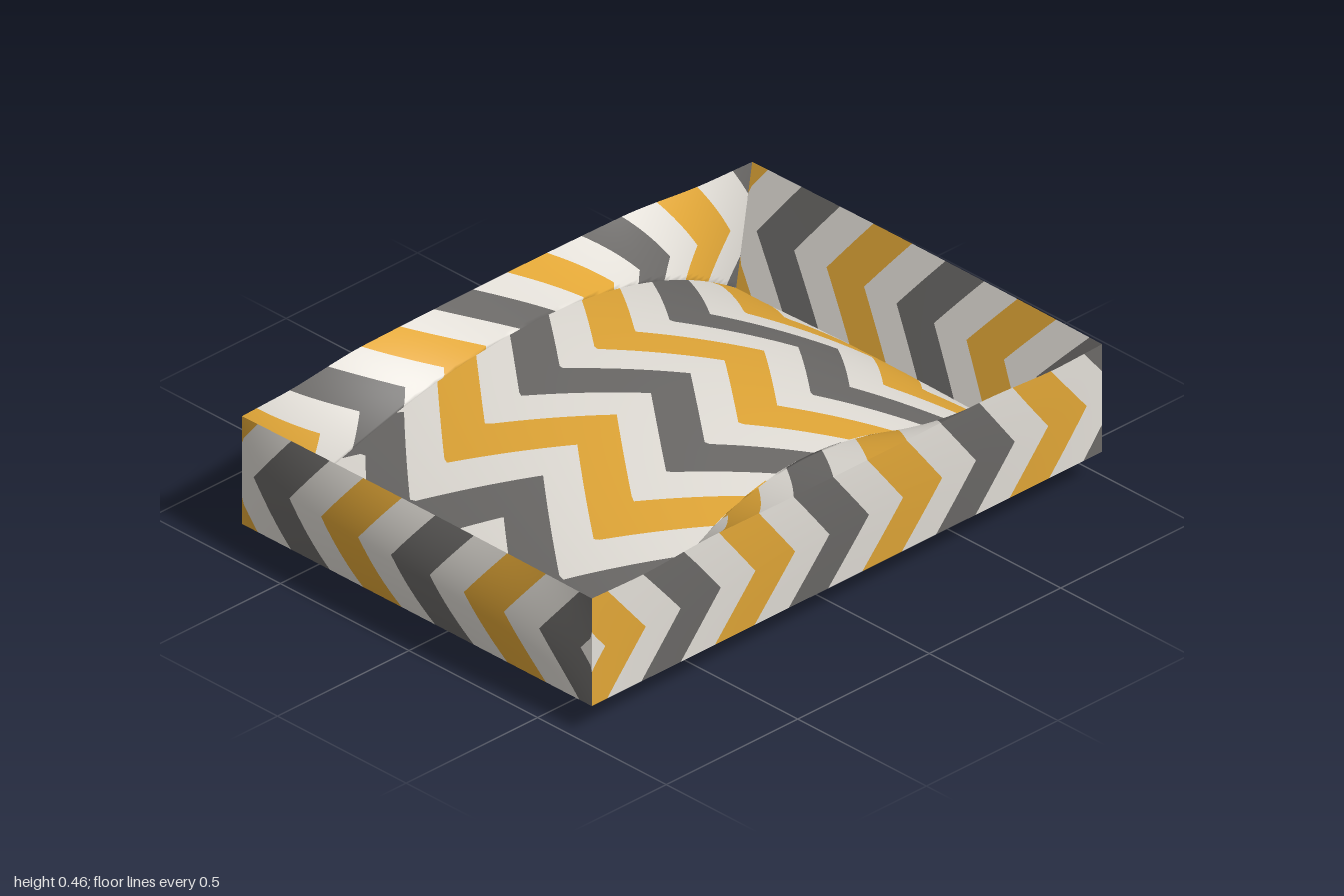
import * as THREE from 'three';

const { clamp, lerp, smoothstep } = THREE.MathUtils;
const HX = 0.97, HZ = 0.68;        // half size of the outer box
const FX = 0.87, FZ = 0.64;        // half size of the cushion
const BASE = 0.1;                  // height of the lower seam
const PITCH = 0.28, BAND = 0.15;   // chevron spacing and width

// Zigzag shift of the bands, pointing towards +u at v = 0
const zigzag = (v) => -0.44 * Math.abs(v / 0.56 - Math.round(v / 0.56));

// Panel P(u, v) cut into chevron bands: one geometry group per fabric colour.
// side is -1 where the panel faces against its u x v direction;
// squeeze narrows the zigzag where the panel itself gets narrower.
function chevronPanel(name, materials, U, V, P, rows, side, squeeze) {
  const pos = [], nor = [], index = [[], [], []];
  const e = 0.004, cols = 4;
  const at = (u, v) => new THREE.Vector3(...P(clamp(u, -U, U) / U, clamp(v, -V, V) / V));
  const addVertex = (u, v) => {
    const du = at(u + e, v).sub(at(u - e, v));
    const dv = at(u, v + e).sub(at(u, v - e));
    pos.push(...at(u, v).toArray());
    nor.push(...du.cross(dv).normalize().multiplyScalar(side).toArray());
  };
  const addTriangle = (list, a, b, c) => list.push(...(side > 0 ? [a, b, c] : [a, c, b]));
  const addBand = (start, width, colour) => {
    const first = pos.length / 3, us = [];
    for (let j = 0; j <= rows; j++) {
      const v = lerp(-V, V, j / rows);
      for (let i = 0; i <= cols; i++) {
        const u0 = start + width * i / cols;
        const k = squeeze(clamp((u0 - 0.11) / U, -1, 1));
        const u = clamp(u0 + zigzag(v * k), -U, U);
        us.push(u);
        addVertex(u, v);
      }
    }
    for (let j = 0; j < rows; j++) for (let i = 0; i < cols; i++) {
      const p = j * (cols + 1) + i, q = p + cols + 1, f = first;
      if (us[p + 1] > us[p]) addTriangle(index[colour], f + p, f + p + 1, f + q + 1);
      if (us[q + 1] > us[q]) addTriangle(index[colour], f + p, f + q + 1, f + q);
    }
  };
  for (let k = -4; k <= 6; k++) {
    const start = -0.36 + PITCH * k;
    addBand(start, BAND, k % 2 === 0 ? 1 : 2);
    addBand(start + BAND, PITCH - BAND, 0);
  }
  const g = new THREE.BufferGeometry();
  g.setAttribute('position', new THREE.Float32BufferAttribute(pos, 3));
  g.setAttribute('normal', new THREE.Float32BufferAttribute(nor, 3));
  g.setIndex(index.flat());
  let offset = 0;
  index.forEach((list, m) => {
    g.addGroup(offset, list.length, m);
    offset += list.length;
  });
  const mesh = new THREE.Mesh(g, materials);
  mesh.name = name;
  return mesh;
}

// Rim heights and rim bow of the long and short walls
const longRim = (s) => 0.44 + 0.02 * (1 - smoothstep(Math.abs(s), 0.5, 0.85));
const shortRim = (s) => 0.44 + 0.005 * (1 - s * s);
const bow = (s) => 0.02 * (1 - s * s);

// Cushion: depth of its long edges and its domed height
const cushionEdge = (s) => FZ - 0.125 * (1 - s * s);
const cushionTop = (s, t) => {
  const crown = 1 - t * t;
  return BASE + (0.315 + 0.02 * crown) * Math.pow(Math.max(0, 1 - s * s), 1 - 0.15 * crown);
};

export function createModel() {
  const group = new THREE.Group();
  const fabric = (name, color) => {
    const m = new THREE.MeshStandardMaterial({ color, side: THREE.DoubleSide });
    m.name = name;
    return m;
  };
  const materials = [
    fabric('cream fabric', 0xe3dfd8),
    fabric('mustard fabric', 0xe2a737),
    fabric('charcoal fabric', 0x6b6967),
  ];
  const add = (name, U, V, P, rows, side = 1, squeeze = () => 1) =>
    group.add(chevronPanel(name, materials, U, V, P, rows, side, squeeze));

  // Long walls: bowed outside, padded inside; the pattern runs along x on both
  [['front', 1], ['back', -1]].forEach(([name, k]) => {
    add(name + 'OuterWall', HX, 0.18, (s, t) => {
      const h = (t + 1) / 2;
      return [HX * s, lerp(BASE, longRim(s), h), k * (HZ + bow(s) * Math.sin(h * Math.PI / 2))];
    }, 16, k);
    // The padding rises to the cushion edge, then leans back to the rim
    add(name + 'InnerWall', HX, 0.18, (s, t) => {
      const h = (t + 1) / 2, fold = 0.5 * (1 - s * s);
      const edgeY = cushionTop(s, 1), edgeZ = cushionEdge(s);
      if (h < fold) {
        return [FX * s, lerp(BASE, edgeY, h / fold), k * lerp(FZ, edgeZ, h / fold)];
      }
      const lean = (h - fold) / (1 - fold);
      return [
        lerp(FX, HX, lean) * s,
        lerp(edgeY, longRim(s), lean),
        k * lerp(edgeZ, HZ + bow(s), lean),
      ];
    }, 32, -k);
  });

  // Short walls: the pattern runs along -z on both
  [['left', 1], ['right', -1]].forEach(([name, k]) => {
    add(name + 'OuterWall', HZ, 0.18, (s, t) => [
      k * (HX + 0.03 * (1 - t * t) * (1 - s * s)),
      lerp(BASE, shortRim(s), (t + 1) / 2),
      -HZ * s,
    ], 16, k);
    add(name + 'InnerWall', HZ, 0.18, (s, t) => {
      const h = (t + 1) / 2;
      return [k * lerp(FX, HX, h), lerp(BASE, shortRim(s), h), -lerp(FZ, HZ, h) * s];
    }, 16, -k);
  });

  // Domed cushion between the padded walls
  add('cushion', FX, FZ, (s, t) => [FX * s, cushionTop(s, t), -cushionEdge(s) * t],
    64, 1, (s) => cushionEdge(s) / FZ);

  // Sagging underside
  add('underside', HX, HZ, (s, t) => [
    HX * s, BASE * (1 - Math.pow((1 - s * s) * (1 - t * t), 0.85)), HZ * t,
  ], 64);

  return group;
}
